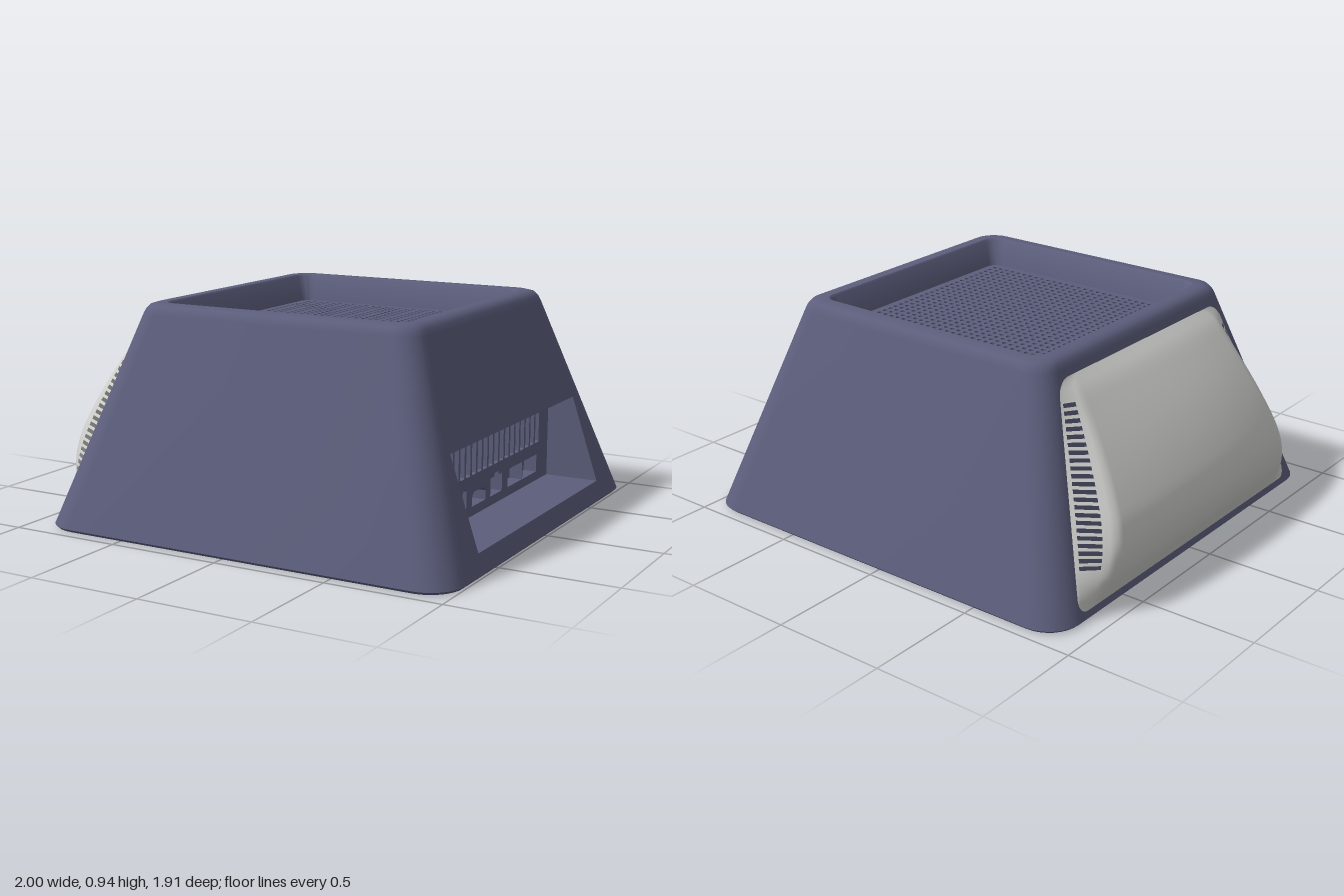
import * as THREE from 'three';
import { toCreasedNormals } from 'three/addons/utils/BufferGeometryUtils.js';

const CX = 0.042;                                  // body centre in x
const LOW = { half: 0.957, r: 0.15, y: 0.012 };    // foot of the sloping walls
const HIGH = { half: 0.66, r: 0.1, y: 0.9 };       // head of the sloping walls
const halfAt = (y) => THREE.MathUtils.mapLinear(y, LOW.y, HIGH.y, LOW.half, HIGH.half);

// Rounded square ring; its closing edge is the flat +x side
function squareRing({ half, r, y }, n = 8) {
  const pts = [];
  for (let k = 0; k < 4; k++) {
    const sx = k === 0 || k === 3 ? 1 : -1, sz = k < 2 ? 1 : -1;
    for (let i = 0; i <= n; i++) {
      const a = (k + i / n) * Math.PI / 2;
      pts.push([CX + sx * (half - r) + r * Math.cos(a), y, sz * (half - r) + r * Math.sin(a)]);
    }
  }
  return pts;
}

// Skin closed rings in sequence; skip(j, i) leaves a face open
function loft(rings, crease, skip = () => false) {
  const n = rings[0].length, index = [];
  for (let j = 0; j < rings.length - 1; j++) {
    for (let i = 0; i < n; i++) {
      if (skip(j, i)) continue;
      const a = j * n + i, b = j * n + (i + 1) % n;
      index.push(a, a + n, b + n, a, b + n, b);
    }
  }
  const g = new THREE.BufferGeometry();
  g.setAttribute('position', new THREE.Float32BufferAttribute(rings.flat(2), 3));
  g.setIndex(index);
  return toCreasedNormals(g, crease);
}

function polygon(points, Type = THREE.Path) {
  return new Type(points.map(([x, y]) => new THREE.Vector2(x, y)));
}

const rect = (x0, x1, y0, y1, Type) => polygon([[x0, y0], [x1, y0], [x1, y1], [x0, y1]], Type);

function roundRect(x0, x1, y0, y1, r) {
  const p = new THREE.Path();
  p.absarc(x1 - r, y1 - r, r, 0, Math.PI / 2);
  p.absarc(x0 + r, y1 - r, r, Math.PI / 2, Math.PI);
  p.absarc(x0 + r, y0 + r, r, Math.PI, Math.PI * 1.5);
  p.absarc(x1 - r, y0 + r, r, Math.PI * 1.5, Math.PI * 2);
  return p;
}

export function createModel() {
  const group = new THREE.Group();
  const shellBlue = new THREE.MeshStandardMaterial({ color: 0x5c5e7c });
  shellBlue.name = 'slate blue';
  const paleGrey = new THREE.MeshStandardMaterial({ color: 0xd0d0ce, side: THREE.DoubleSide });
  paleGrey.name = 'pale grey';
  const add = (name, geometry, material = shellBlue) => {
    const mesh = new THREE.Mesh(geometry, material);
    mesh.name = name;
    group.add(mesh);
    return mesh;
  };

  // Tapered body with rounded rim and a well in the top
  const floorY = 0.825;
  const bodyRings = [
    { half: 0.002, r: 0.001, y: 0 }, { half: 0.945, r: 0.14, y: 0 }, LOW, HIGH,
    { half: 0.652, r: 0.1, y: 0.92 }, { half: 0.638, r: 0.095, y: 0.937 }, { half: 0.615, r: 0.09, y: 0.945 },
    { half: 0.575, r: 0.06, y: 0.945 }, { half: 0.567, r: 0.055, y: 0.938 }, { half: 0.535, r: 0.045, y: floorY },
  ].map((s) => squareRing(s));
  const last = bodyRings[0].length - 1;
  add('body', loft(bodyRings, 0.6, (j, i) => j === 2 && i === last));

  // Perforated plate at the bottom of the well
  const grille = rect(-0.54, 0.54, -0.54, 0.54, THREE.Shape);
  const count = 29, pitch = 0.0352;
  for (let i = 0; i < count; i++) {
    for (let j = 0; j < count; j++) {
      const hole = new THREE.Path();
      hole.absarc((i - (count - 1) / 2) * pitch, (j - (count - 1) / 2) * pitch, 0.011, 0, Math.PI * 2);
      grille.holes.push(hole);
    }
  }
  const grilleGeo = new THREE.ExtrudeGeometry(grille, { depth: 0.025, bevelEnabled: false, curveSegments: 8 });
  grilleGeo.rotateX(-Math.PI / 2);
  add('topGrille', grilleGeo).position.set(CX, floorY - 0.025, 0);
  add('grilleBacking', new THREE.BoxGeometry(1.08, 0.01, 1.08)).position.set(CX, floorY - 0.03, 0);

  // Sloping side wall with the opening of the port bay
  const bay = { z: 0.635, y0: 0.09, y1: 0.465, x: 0.73 };
  const zLow = LOW.half - LOW.r, zHigh = HIGH.half - HIGH.r;
  const wall = polygon([[-zLow, LOW.y], [zLow, LOW.y], [zHigh, HIGH.y], [-zHigh, HIGH.y]], THREE.Shape);
  wall.holes.push(rect(-bay.z, bay.z, bay.y0, bay.y1));
  const wallGeo = new THREE.ShapeGeometry(wall).rotateY(Math.PI / 2);
  const wp = wallGeo.attributes.position;
  for (let i = 0; i < wp.count; i++) wp.setX(i, CX + halfAt(wp.getY(i)));
  wallGeo.computeVertexNormals();
  add('portSideWall', wallGeo);

  // Floor, ceiling and ends of the bay
  const corners = [[bay.y1, bay.z], [bay.y1, -bay.z], [bay.y0, -bay.z], [bay.y0, bay.z]];
  add('portBay', loft([
    corners.map(([y, z]) => [CX + halfAt(y), y, z]),
    corners.map(([y, z]) => [bay.x, y, z]),
  ], 0.1));

  // Panel with cooling slots and sockets
  const panel = rect(-bay.z, bay.z, bay.y0, bay.y1, THREE.Shape);
  for (let i = 0; i < 19; i++) {
    const u = -0.515 + i * 0.0558;
    panel.holes.push(roundRect(u, u + 0.04, 0.265, 0.43, 0.006));
  }
  for (let i = 0; i < 4; i++) {
    const u = -0.46 + i * 0.065;
    panel.holes.push(roundRect(u, u + 0.037, 0.13, 0.22, 0.018));
  }
  panel.holes.push(
    polygon([[-0.175, 0.13], [-0.04, 0.13], [-0.04, 0.17], [-0.06, 0.19], [-0.155, 0.19], [-0.175, 0.17]]),
    polygon([[0.01, 0.13], [0.13, 0.13], [0.13, 0.21], [0.092, 0.21], [0.092, 0.225],
      [0.048, 0.225], [0.048, 0.21], [0.01, 0.21]]),
    rect(0.19, 0.348, 0.13, 0.21), rect(0.353, 0.51, 0.13, 0.21),
  );
  const panelGeo = new THREE.ExtrudeGeometry(panel, { depth: 0.06, bevelEnabled: false, curveSegments: 5 });
  panelGeo.rotateY(Math.PI / 2);
  add('portPanel', panelGeo).position.x = bay.x - 0.06;
  add('portBacking', new THREE.BoxGeometry(0.01, 0.38, 1.28)).position.set(bay.x - 0.065, 0.278, 0);

  // Bulging side cover, with rows of slots left open along both flanks
  const y0 = 0.04, y1 = 0.87, slots = 22;
  const bulge = new THREE.CubicInterpolant(
    [0.04, 0.1, 0.17, 0.27, 0.36, 0.45, 0.6, 0.75, 0.82, 0.87],
    [0, 0.058, 0.12, 0.174, 0.19, 0.18, 0.14, 0.078, 0.041, 0], 1, new Float32Array(1));
  const rows = [];
  for (let i = 0; i < 16; i++) rows.push(y0 + (0.2 - y0) * (i / 16) ** 1.5);
  const firstSlot = rows.length;
  for (let i = 0; i < slots; i++) {
    const y = 0.2 + i * 0.6 / slots;
    rows.push(y, y + 0.015);
  }
  const endSlot = rows.length;
  for (let i = 0; i <= 10; i++) rows.push(0.8 + (y1 - 0.8) * (1 - (1 - i / 10) ** 1.5));

  const side = [0.3, 0.5, 0.65, 0.76, 0.82, 0.86, 0.885, 0.91, 0.985, 1];
  const cols = [...side.map((s) => -s).reverse(), 0, ...side];
  const isSlotCol = (i) => i === 1 || i === cols.length - 3;
  const section = (s) => {
    const crown = 1 - 0.3 * s * s, flank = (1 - s) / 0.14 * 0.8;
    const k = Math.max(0.04 - Math.abs(crown - flank), 0) / 0.04;   // soft shoulder
    return Math.min(crown, flank) - k * k * 0.01;
  };
  const pos = [], index = [], n = cols.length;
  rows.forEach((y, j) => {
    const r = 0.06, d = Math.min(y - y0, y1 - y, r);
    const w = THREE.MathUtils.mapLinear(y, y0, y1, 0.805, 0.575) - (r - Math.sqrt(Math.max(0, r * r - (r - d) ** 2)));
    const b = Math.max(0, bulge.evaluate(y)[0]);
    cols.forEach((s, i) => {
      pos.push(CX - halfAt(y) - 0.002 - b * Math.max(0, section(Math.abs(s))), y, s * w);
      const open = j >= firstSlot && j < endSlot && (j - firstSlot) % 2 === 0 && isSlotCol(i);
      if (j === rows.length - 1 || i === n - 1 || open) return;
      const a = j * n + i;
      index.push(a, a + 1, a + n + 1, a, a + n + 1, a + n);
    });
  });
  const coverGeo = new THREE.BufferGeometry();
  coverGeo.setAttribute('position', new THREE.Float32BufferAttribute(pos, 3));
  coverGeo.setIndex(index);
  coverGeo.computeVertexNormals();
  add('sideCover', coverGeo, paleGrey);

  return group;
}
